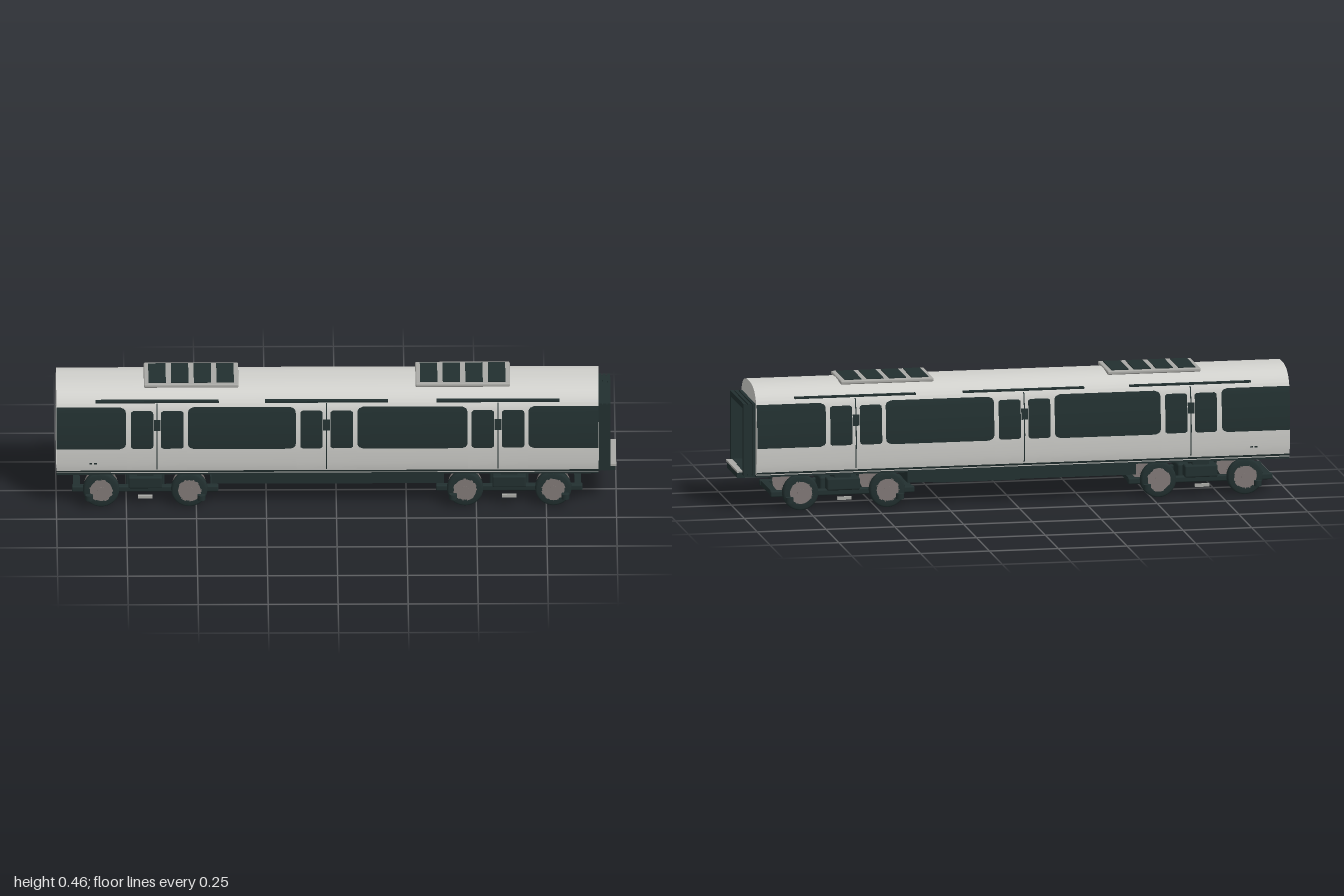
import * as THREE from 'three';
import { toCreasedNormals } from 'three/addons/utils/BufferGeometryUtils.js';
import { RoundedBoxGeometry } from 'three/addons/geometries/RoundedBoxGeometry.js';

const material = (name, color) => Object.assign(new THREE.MeshStandardMaterial({ color }), { name });

// Half cross-section of the body shell as (z, y), from sill to roof ridge
const section = new THREE.SplineCurve([
  [0.146, 0.133], [0.153, 0.165], [0.158, 0.21], [0.16, 0.25], [0.158, 0.3], [0.153, 0.345],
  [0.146, 0.385], [0.133, 0.41], [0.11, 0.431], [0.085, 0.442], [0.045, 0.45], [0, 0.452],
].map(([z, y]) => new THREE.Vector2(z, y))).getPoints(44);

// Half width of the side wall at height y
function wallZ(y) {
  const i = Math.max(1, section.findIndex((p) => p.y >= y));
  const a = section[i - 1], b = section[i];
  return THREE.MathUtils.lerp(a.x, b.x, (y - a.y) / (b.y - a.y));
}

export function createModel() {
  const model = new THREE.Group();
  const shellMat = material('light grey shell', 0xd0d0cc);
  const darkMat = material('dark green black', 0x223030);
  const unitMat = material('roof unit grey', 0xa9a9a5);
  const steelMat = material('wheel steel', 0x807876);
  const poleMat = material('pole grey', 0x929292);
  const seatMat = material('seat blue', 0x38446c);

  const add = (name, geometry, mat, x = 0, y = 0, z = 0, parent = model) => {
    const mesh = new THREE.Mesh(geometry, mat);
    mesh.name = name;
    mesh.position.set(x, y, z);
    parent.add(mesh);
    return mesh;
  };
  // Box given by its limits on each axis
  const box = (name, mat, [x0, x1], [y0, y1], [z0, z1], parent = model, radius = 0) => {
    const size = [x1 - x0, y1 - y0, z1 - z0];
    const geometry = radius ? new RoundedBoxGeometry(...size, 2, radius) : new THREE.BoxGeometry(...size);
    return add(name, geometry, mat, (x0 + x1) / 2, (y0 + y1) / 2, (z0 + z1) / 2, parent);
  };
  // Thin rounded panel that follows the curve of a side wall
  const wallPanel = (name, mat, x0, x1, y0, y1, offset, side, r = 0) => {
    const geometry = new THREE.PlaneGeometry(1, 1, 1, 28);
    const p = geometry.attributes.position;
    for (let i = 0; i < p.count; i++) {
      const y = THREE.MathUtils.lerp(y0, y1, p.getY(i) + 0.5);
      const d = Math.min(y - y0, y1 - y, r);
      const inset = r - Math.sqrt(Math.max(0, r * r - (r - d) ** 2));
      const x = (x0 + x1) / 2 + side * Math.sign(p.getX(i)) * ((x1 - x0) / 2 - inset);
      p.setXYZ(i, x, y, side * (wallZ(y) + offset));
    }
    geometry.computeVertexNormals();
    add(name, geometry, mat);
  };
  // Rectangular tube along x, open at both ends
  const ring = (outline, hole, x0, length, name, mat) => {
    const shape = new THREE.Shape(outline);
    shape.holes.push(new THREE.Path(hole));
    const geometry = new THREE.ExtrudeGeometry(shape, { depth: length, bevelEnabled: false });
    geometry.rotateY(Math.PI / 2);
    add(name, toCreasedNormals(geometry, 0.5), mat, x0);
  };
  const rect = (z, y0, y1) => [[-z, y0], [z, y0], [z, y1], [-z, y1]].map(([a, b]) => new THREE.Vector2(a, b));

  // Body shell with a passage running through it
  const mirrored = section.slice(0, -1).reverse().map((p) => new THREE.Vector2(-p.x, p.y));
  const opening = rect(0.112, 0.146, 0.372);
  ring([...section, ...mirrored], opening, -1, 1.937, 'bodyShell', shellMat);

  // Gangway bellows and step plate
  for (let i = 0; i < 3; i++) {
    ring(rect(0.131, 0.13, 0.392), opening, 0.937 + i * 0.016, 0.011, 'gangwayPleat', darkMat);
  }
  ring(rect(0.126, 0.135, 0.387), opening, 0.937, 0.04, 'gangwayCore', darkMat);
  box('gangwayFloor', unitMat, [0.93, 1], [0.139, 0.146], [-0.11, 0.11]);
  box('gangwaySupport', darkMat, [0.9, 0.998], [0.118, 0.139], [-0.1, 0.1]);
  box('coupler', darkMat, [0.9, 0.99], [0.11, 0.13], [-0.039, 0.039]);

  // Underframe
  box('underframe', darkMat, [-0.999, 0.936], [0.126, 0.138], [-0.145, 0.145]);
  box('equipmentBox', darkMat, [-0.445, 0.385], [0.085, 0.13], [-0.135, 0.135]);
  box('lowerEquipment', darkMat, [-0.03, 0.285], [0.073, 0.09], [-0.09, 0.09]);

  // Window bands, doors and door rails on both sides
  const doorCentres = [-0.64, -0.035, 0.577];
  for (const side of [1, -1]) {
    for (const [x0, x1, r] of [[-1, -0.752, 0.02], [-0.53, -0.145, 0.02], [0.075, 0.468, 0.02], [0.686, 0.936, 0.02]]) {
      wallPanel('windowBand', darkMat, x0, x1, 0.233, 0.39, 0.002, side, r);
    }
    // Square off the bands where they meet the body ends
    wallPanel('windowBandEnd', darkMat, -1, -0.97, 0.233, 0.39, 0.0018, side);
    wallPanel('windowBandEnd', darkMat, 0.906, 0.936, 0.233, 0.39, 0.0018, side);
    wallPanel('sillLine', darkMat, -1, 0.936, 0.137, 0.144, 0.001, side);

    for (const c of doorCentres) {
      for (const s of [-1, 1]) {
        const span = (a, b) => [c + s * a, c + s * b].sort((m, n) => m - n);
        wallPanel('doorLeaf', shellMat, ...span(0.002, 0.107), 0.15, 0.402, 0.004, side);
        wallPanel('doorWindow', darkMat, ...span(0.014, 0.094), 0.236, 0.378, 0.0055, side, 0.008);
      }
      wallPanel('doorSeam', darkMat, c - 0.002, c + 0.002, 0.15, 0.402, 0.003, side);
      wallPanel('doorLatch', darkMat, c - 0.012, c + 0.012, 0.305, 0.345, 0.0052, side);
      box('doorRail', darkMat, [c - 0.22, c + 0.22], [0.407, 0.413], side > 0 ? [0.13, 0.149] : [-0.149, -0.13]);
    }
    for (const x of [-0.877, -0.86]) {
      wallPanel('sideMark', darkMat, x - 0.005, x + 0.005, 0.172, 0.177, 0.002, side);
    }
  }

  // Roof units with four vents each
  for (const x of [-0.518, 0.452]) {
    box('roofUnit', unitMat, [x - 0.169, x + 0.169], [0.443, 0.457], [-0.098, 0.098], model, 0.005);
    for (let i = 0; i < 4; i++) {
      const v = x + (i - 1.5) * 0.081;
      box('roofVent', darkMat, [v - 0.031, v + 0.031], [0.453, 0.4595], [-0.083, 0.083]);
    }
  }

  // Seats and poles inside
  const seat = (x, z0, z1) => {
    box('seatBack', seatMat, [x - 0.01, x + 0.01], [0.207, 0.295], [z0, z1], model, 0.005);
    for (const s of [-1, 1]) {
      box('seatCushion', seatMat, [x + s * 0.035 - 0.03, x + s * 0.035 + 0.03], [0.2, 0.213], [z0, z1], model, 0.004);
    }
  };
  for (const x of [-0.87, -0.43, -0.24, 0.17, 0.37, 0.81]) {
    seat(x, 0.021, 0.112);
    seat(x, -0.112, -0.081);
    for (const z of [0.048, -0.048]) box('seatLeg', poleMat, [x - 0.01, x + 0.01], [0.146, 0.202], [z - 0.002, z + 0.002]);
  }
  for (const c of doorCentres) add('pole', new THREE.CylinderGeometry(0.002, 0.002, 0.226, 10), poleMat, c, 0.259, 0);

  // Running gear: rubber tyres outside, steel wheels inside
  const tyreProfile = [[0.04, -0.017], [0.058, -0.017], [0.064, -0.012], [0.065, -0.005], [0.065, 0.005],
    [0.064, 0.012], [0.058, 0.017], [0.04, 0.017]].map(([a, b]) => new THREE.Vector2(a, b));
  const tyreGeo = new THREE.LatheGeometry(tyreProfile, 32).rotateX(Math.PI / 2);
  const disc = (r, h) => new THREE.CylinderGeometry(r, r, h, 32).rotateX(Math.PI / 2);
  const hubGeo = disc(0.043, 0.034), steelGeo = disc(0.056, 0.012), flangeGeo = disc(0.06, 0.003);
  const axleGeo = disc(0.01, 0.25), capGeo = disc(0.014, 0.037);

  for (const centre of [-0.6825, 0.6175]) {
    const bogie = new THREE.Group();
    bogie.name = 'bogie';
    bogie.position.x = centre;
    model.add(bogie);
    box('bogieCentre', darkMat, [-0.07, 0.07], [0.035, 0.1], [-0.046, 0.046], bogie, 0.008);
    box('bolster', darkMat, [-0.03, 0.03], [0.06, 0.128], [-0.12, 0.12], bogie);
    for (const s of [-1, 1]) {
      const z = (a, b) => (s > 0 ? [a, b] : [-b, -a]);
      box('sideBeam', darkMat, [-0.262, 0.262], [0.046, 0.068], z(0.092, 0.118), bogie, 0.005);
      box('suspensionBlock', darkMat, [-0.06, 0.06], [0.066, 0.11], z(0.085, 0.135), bogie, 0.006);
      box('contactShoe', unitMat, [-0.026, 0.026], [0.035, 0.046], z(0.142, 0.152), bogie);
      for (const e of [-1, 1]) {
        const x = e * 0.1575;
        add('tyre', tyreGeo, darkMat, x, 0.065, s * 0.131, bogie);
        add('hub', hubGeo, steelMat, x, 0.065, s * 0.131, bogie);
        add('hubCap', capGeo, steelMat, x, 0.065, s * 0.131, bogie);
        add('steelWheel', steelGeo, steelMat, x, 0.067, s * 0.1, bogie);
        add('wheelFlange', flangeGeo, steelMat, x, 0.067, s * 0.092, bogie);
        add('guideRoller', new THREE.CylinderGeometry(0.014, 0.014, 0.019, 16), darkMat, x + e * 0.043, 0.042, s * 0.156, bogie);
        if (s > 0) {
          add('axle', axleGeo, steelMat, x, 0.067, 0, bogie);
          box('crossBeam', darkMat, [e * 0.245 - 0.012, e * 0.245 + 0.012], [0.048, 0.066], [-0.1, 0.1], bogie);
        }
      }
    }
  }
  return model;
}
